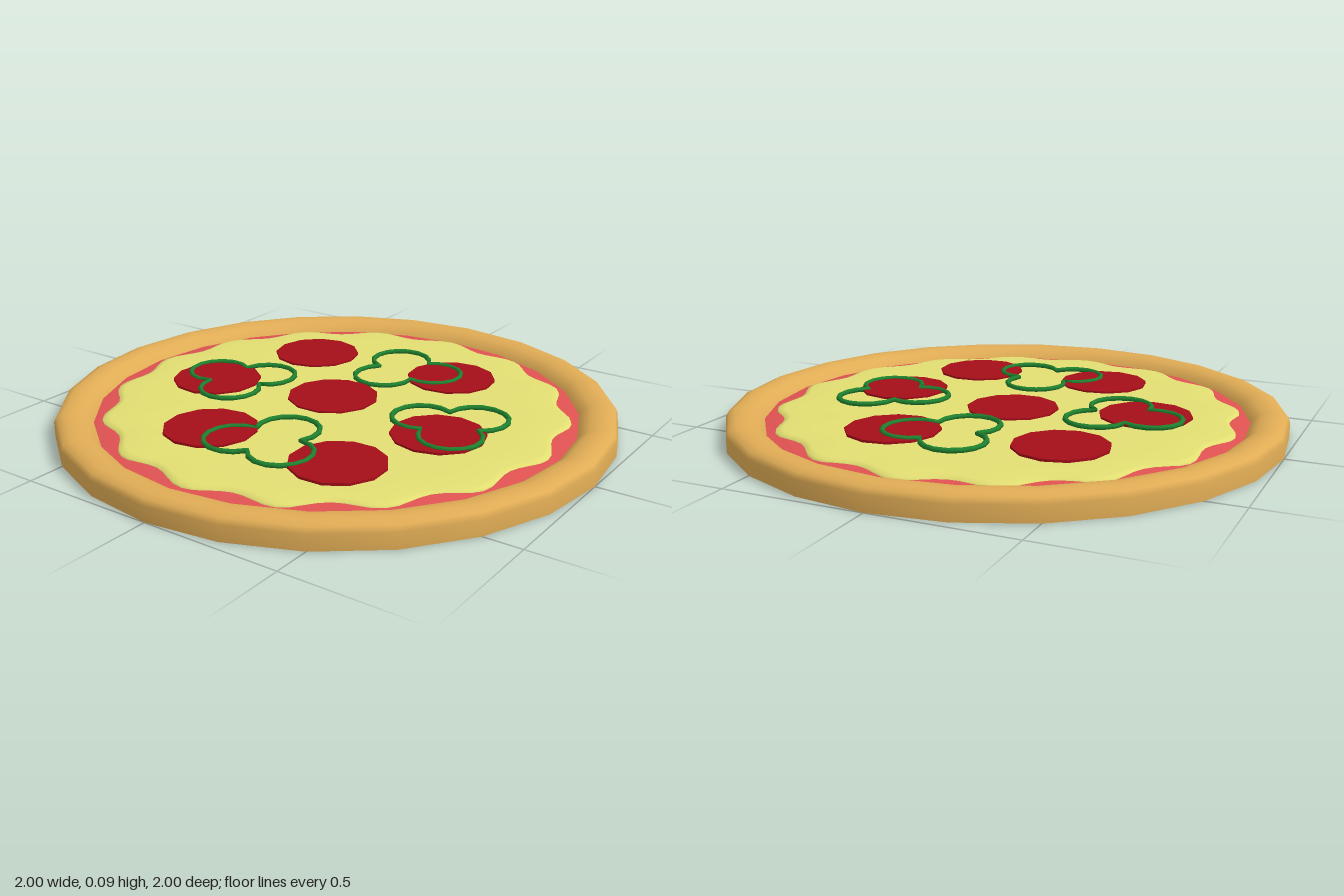
import * as THREE from 'three';

const material = (color) => new THREE.MeshStandardMaterial({ color });
const profile = (pts) => pts.map(([r, y]) => new THREE.Vector2(r, y));

// Outline of a sliced pepper: three round lobes whose circles meet at the centre
class TrefoilCurve extends THREE.Curve {
  constructor(radius) {
    super();
    this.radius = radius;
  }
  getPoint(t, target = new THREE.Vector3()) {
    const s = (t % 1) * 3;
    const lobe = Math.floor(s) * Math.PI * 2 / 3;
    const a = lobe + (s - Math.floor(s) - 0.5) * Math.PI * 4 / 3;
    return target.set(
      this.radius * (Math.cos(lobe) + Math.cos(a)), 0,
      this.radius * (Math.sin(lobe) + Math.sin(a)));
  }
}

export function createModel() {
  const pizza = new THREE.Group();
  pizza.name = 'pizza';
  const add = (name, geometry, mat, parent = pizza) => {
    const mesh = new THREE.Mesh(geometry, mat);
    mesh.name = name;
    parent.add(mesh);
    return mesh;
  };

  // Crust: rounded rim around a flat base
  const dough = material(0xe0ac55);
  add('crustRim', new THREE.LatheGeometry(profile([
    [1, 0], [1, 0.055], [0.99, 0.074], [0.965, 0.084], [0.935, 0.085],
    [0.905, 0.079], [0.885, 0.067], [0.87, 0.052], [0.862, 0.04],
  ]), 24), dough);
  add('crustBase', new THREE.CircleGeometry(1, 24).rotateX(Math.PI / 2), dough);

  // Sauce: shallow mound sloping down to the rim
  add('sauce', new THREE.LatheGeometry(profile([
    [0.868, 0.044], [0.82, 0.052], [0.76, 0.056], [0, 0.058],
  ]), 24), material(0xe05252));

  // Cheese: thin dome with a wavy edge
  const cheese = new THREE.LatheGeometry(profile([
    [0.815, 0.045], [0.812, 0.057], [0.79, 0.063], [0.7, 0.066], [0.4, 0.068], [0, 0.069],
  ]), 128);
  const pos = cheese.attributes.position;
  for (let i = 0; i < pos.count; i++) {
    const x = pos.getX(i), z = pos.getZ(i);
    const edge = Math.pow(Math.hypot(x, z) / 0.815, 4);
    const k = 1 + 0.026 * edge * Math.cos(16 * Math.atan2(x, z));
    pos.setX(i, x * k);
    pos.setZ(i, z * k);
  }
  cheese.computeVertexNormals();
  add('cheese', cheese, material(0xe2de72));

  // Pepperoni slices
  const slices = new THREE.Group();
  slices.name = 'pepperoniSlices';
  pizza.add(slices);
  const sliceGeometry = new THREE.CylinderGeometry(0.165, 0.165, 0.022, 12);
  const meat = material(0xa50d18);
  [[-0.36, -0.375], [0.225, -0.433], [-0.032, -0.02], [-0.497, 0.08],
    [0.46, 0.065], [-0.203, 0.46], [0.315, 0.444]].forEach(([x, z], i) => {
    const slice = add('pepperoni', sliceGeometry, meat, slices);
    slice.position.set(x, 0.064, z);
    slice.rotation.y = i * 0.4;
  });

  // Green pepper rings: x, z and turn in degrees
  const rings = new THREE.Group();
  rings.name = 'pepperRings';
  pizza.add(rings);
  const ringGeometry = new THREE.TubeGeometry(new TrefoilCurve(0.109), 30, 0.0095, 6, true);
  const green = material(0x1f822f);
  for (const [x, z, turn] of [[0.043, -0.4, -11], [-0.428, 0.037, 68],
    [0.455, -0.025, 180], [0.027, 0.436, -90]]) {
    const ring = add('pepperRing', ringGeometry, green, rings);
    ring.position.set(x, 0.0755, z);
    ring.rotation.y = -THREE.MathUtils.degToRad(turn);
  }

  return pizza;
}
